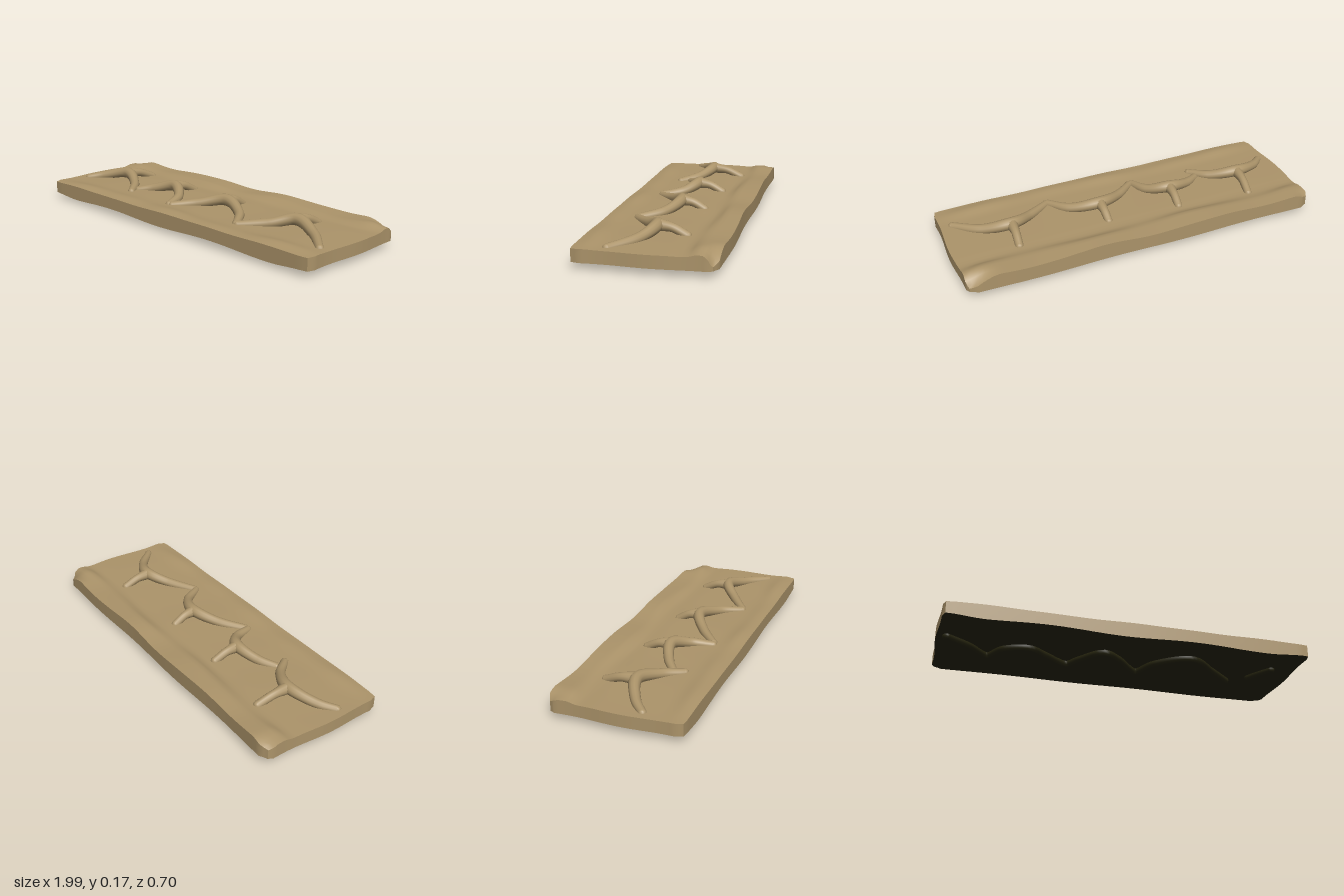
import * as THREE from 'three';

const earth = new THREE.MeshStandardMaterial({ color: 0xac946a });
earth.name = 'earth tan';
const soil = new THREE.MeshStandardMaterial({ color: 0x28260f });
soil.name = 'dark soil';

const bump = (v, centre, width) => Math.exp(-(((v - centre) / width) ** 2));
const step = THREE.MathUtils.smoothstep;

// Height of the upper surface: soft front ridge, level middle, raised back shelf
function topHeight(x, z) {
  const wave = Math.sin(x * 9 + 1) * 0.5 + Math.sin(x * 17 + z * 6) * 0.3;
  const edge = 0.01 * Math.sin(x * 7);
  const back = step(-z, 0.195 + edge, 0.25 + edge);
  const fade = 1 - 0.6 * step(Math.abs(x), 0.88, 1);
  // Back corners slope down, the right-hand one (+x) more
  const bevel = step(-z, 0.27, 0.345)
    * (0.055 * step(x, 0.8, 0.99) + 0.02 * step(-x, 0.88, 0.99));
  return 0.099 + 0.002 * wave
    + back * fade * (0.016 + 0.008 * Math.cos((x + 0.34) * 9.5) + 0.003 * wave)
    + bump(z, 0.29 + 0.01 * Math.sin(x * 5), 0.045) * fade * (0.009 + 0.005 * wave)
    - bump(z, -0.17, 0.04) * 0.002 - bevel;
}

// Height of the underside, hanging lower near the front and behind the middle
function bottomHeight(x, z) {
  const fade = 1 - step(Math.abs(x), 0.75, 1);
  return 0.034 - fade * (0.5 + 0.5 * Math.sin(x * 8 + 2))
    * (bump(z, 0.315, 0.045) * 0.02 + bump(z, -0.18, 0.05) * 0.018);
}

// Slab: a subdivided box with wavy faces, worn rim and clipped back corners
function makeSlab() {
  const g = new THREE.BoxGeometry(1.98, 1, 0.69, 72, 3, 32);
  const p = g.attributes.position;
  for (let i = 0; i < p.count; i++) {
    const x = p.getX(i), z = p.getZ(i), t = p.getY(i) + 0.5;
    const y = THREE.MathUtils.lerp(bottomHeight(x, z), topHeight(x, z), t);
    const endX = step(Math.abs(x), 0.8, 0.99), endZ = step(Math.abs(z), 0.25, 0.345);
    const corner = step(Math.abs(x), 0.93, 0.99) * step(Math.abs(z), 0.3, 0.345);
    const nx = x + endX * 0.006 * Math.sin(z * 13 + x * 2)
      - Math.sign(x) * corner * 0.015;
    const nz = z + (z < 0 ? endZ * (0.004 * Math.sin(x * 8) - 0.003) : 0)
      - Math.sign(z) * corner * (z < 0 ? 0.022 : 0.004);
    p.setXYZ(i, nx, y, nz);
  }
  g.computeVertexNormals();
  // The fourth face group of the box is its underside
  const mesh = new THREE.Mesh(g, [earth, earth, earth, soil, earth, earth]);
  mesh.name = 'slab';
  return mesh;
}

// Root: a round-ended tube whose radius runs through the given values
function makeRoot(name, points, radii, material) {
  const group = new THREE.Group();
  group.name = name;
  const curve = new THREE.CatmullRomCurve3(points.map((q) => new THREE.Vector3(...q)));
  const rings = points.length * 8, sides = 12;
  const radiusAt = (t) => {
    const s = t * (radii.length - 1), k = Math.min(Math.floor(s), radii.length - 2);
    return THREE.MathUtils.lerp(radii[k], radii[k + 1], step(s - k, 0, 1));
  };
  const g = new THREE.TubeGeometry(curve, rings, 1, sides);
  const p = g.attributes.position, v = new THREE.Vector3();
  for (let i = 0; i < p.count; i++) {
    const t = Math.floor(i / (sides + 1)) / rings;
    const c = curve.getPointAt(t);
    v.fromBufferAttribute(p, i).sub(c).multiplyScalar(radiusAt(t)).add(c);
    p.setXYZ(i, v.x, v.y, v.z);
  }
  const tube = new THREE.Mesh(g, material);
  tube.name = name + 'Stem';
  group.add(tube);
  for (const t of [0, 1]) {
    const tip = new THREE.Mesh(new THREE.SphereGeometry(radiusAt(t), 12, 8), material);
    tip.name = name + 'Tip';
    tip.position.copy(curve.getPointAt(t));
    group.add(tip);
  }
  return group;
}

// Plan of each arch as [x, z] points, and the tip of its side branch
const arches = [
  { path: [[-0.935, 0.125], [-0.86, 0.06], [-0.71, 0.0], [-0.57, 0.065], [-0.485, 0.16]], branch: [-0.69, -0.175] },
  { path: [[-0.49, 0.1], [-0.41, 0.045], [-0.28, 0.005], [-0.175, 0.075], [-0.13, 0.185]], branch: [-0.27, -0.135] },
  { path: [[-0.11, 0.18], [0.0, 0.085], [0.14, 0.01], [0.29, 0.07], [0.38, 0.185]], branch: [0.14, -0.115] },
  { path: [[0.39, 0.185], [0.52, 0.09], [0.64, 0.015], [0.79, 0.07], [0.92, 0.185]], branch: [0.65, -0.135] },
];
const archHeights = [0.092, 0.109, 0.14, 0.109, 0.092];

export function createModel() {
  const model = new THREE.Group();
  model.name = 'rootedGround';
  model.add(makeSlab());

  // Arched roots on top, each with a branch reaching back
  arches.forEach(({ path, branch }, n) => {
    const points = path.map(([x, z], i) => [x, archHeights[i], z]);
    model.add(makeRoot('archRoot' + (n + 1), points, [0.022, 0.027, 0.032, 0.027, 0.022], earth));
    const [px, pz] = path[2], [bx, bz] = branch;
    model.add(makeRoot('branchRoot' + (n + 1), [
      [px, 0.138, pz - 0.005],
      [px + (bx - px) * 0.3, 0.128, pz + (bz - pz) * 0.5],
      [bx, 0.093, bz],
    ], [0.031, 0.023, 0.022], earth));
  });

  // Dark roots showing through the underside
  model.add(makeRoot('lowerRoot', [
    [0.65, 0.026, -0.07], [0.52, 0.028, 0.04], [0.37, 0.028, 0.155], [0.2, 0.027, 0.05],
    [0.12, 0.026, -0.085], [-0.03, 0.026, 0.06], [-0.11, 0.026, 0.11], [-0.21, 0.027, 0.0],
    [-0.275, 0.027, -0.085], [-0.43, 0.028, 0.01], [-0.505, 0.028, 0.06], [-0.63, 0.028, 0.02],
    [-0.71, 0.028, -0.09], [-0.83, 0.028, 0.015], [-0.94, 0.03, 0.085],
  ], [0.025, 0.026, 0.026, 0.025], soil));
  model.add(makeRoot('lowerRootEnd', [
    [0.77, 0.03, 0.0], [0.81, 0.03, 0.07], [0.85, 0.03, 0.13],
  ], [0.023, 0.024, 0.023], soil));
  return model;
}
